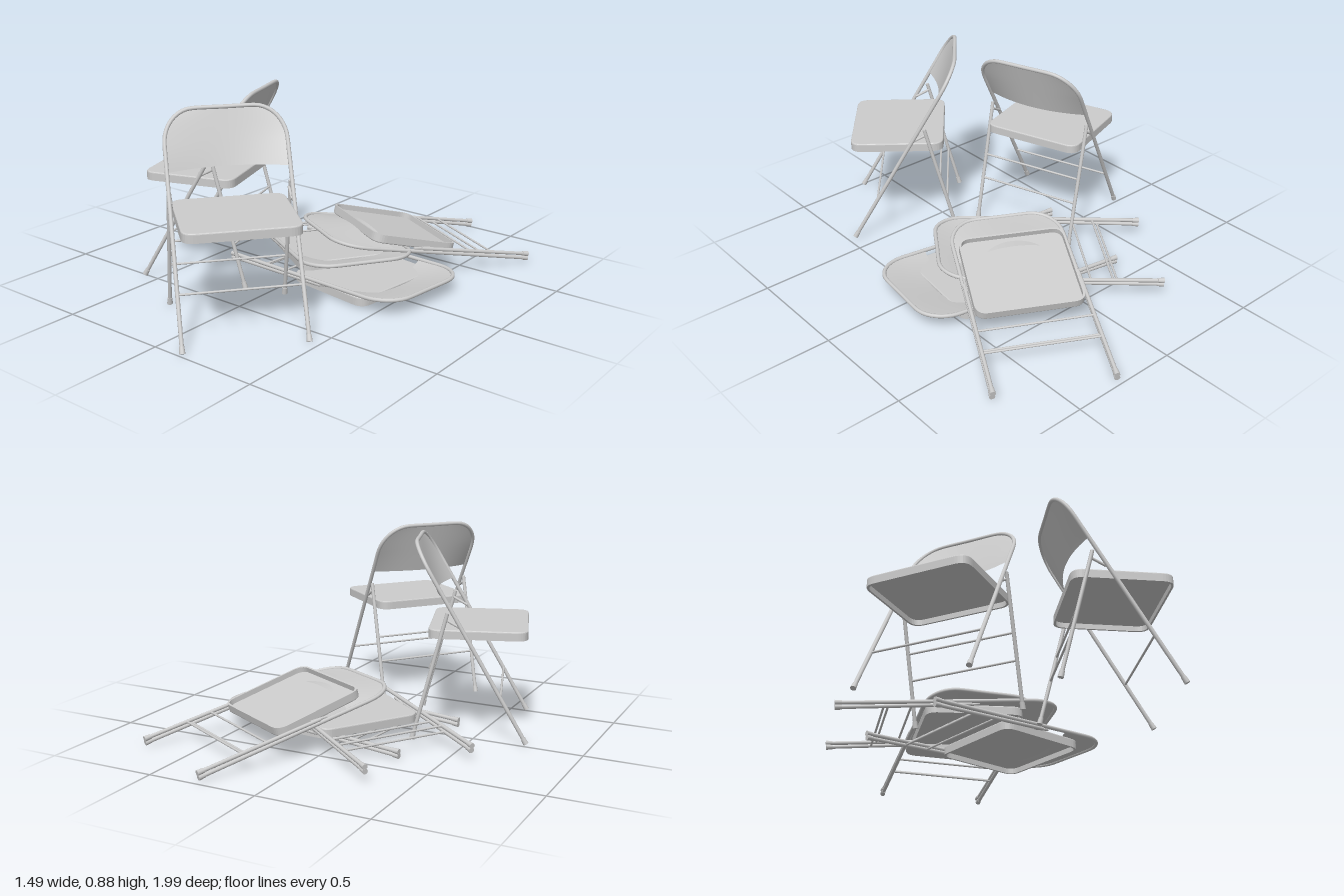
import * as THREE from 'three';
import { ParametricGeometry } from 'three/addons/geometries/ParametricGeometry.js';

const HALF = 0.255;          // half width of the tube frame
const LENGTH = 1.0;          // frame length from foot to top
const CORNER = 0.85;         // where the top corners start
const INSET = 0.13;          // sideways reach of the top corners
const LEAN = 0.522;          // backward lean of an open frame
const TUBE = 0.009;
const grey = new THREE.MeshStandardMaterial({ color: 0xcccccc });
const greyThin = new THREE.MeshStandardMaterial({ color: 0xcccccc, side: THREE.DoubleSide });
const V = (x, y, z) => new THREE.Vector3(x, y, z);

function add(parent, name, geometry, material = grey) {
  const mesh = new THREE.Mesh(geometry, material);
  mesh.name = name;
  parent.add(mesh);
  return mesh;
}

// Straight round bar between two points
function bar(parent, name, a, b, radius) {
  const mesh = add(parent, name, new THREE.CylinderGeometry(radius, radius, a.distanceTo(b), 10));
  mesh.position.copy(a).lerp(b, 0.5);
  mesh.quaternion.setFromUnitVectors(V(0, 1, 0), b.clone().sub(a).normalize());
}

function footCap(parent, x) {
  const cap = add(parent, 'footCap', new THREE.CylinderGeometry(0.0105, 0.0125, 0.03, 12));
  cap.position.set(x, 0.02, 0);
}

// Half width of the backrest at distance d from the foot
function halfWidth(d) {
  const t = THREE.MathUtils.clamp((d - CORNER) / (LENGTH - CORNER), 0, 1);
  return HALF - INSET * (1 - Math.sqrt(1 - t * t));
}

// Front legs and backrest: one bent tube, a curved panel and a crossbar
function makeFrame() {
  const frame = new THREE.Group();
  frame.name = 'frontFrame';
  const side = [V(HALF, 0.01, 0), V(HALF, 0.3, 0), V(HALF, 0.6, 0), V(HALF, 0.8, 0)];
  for (let i = 0; i <= 8; i++) {
    const a = (i / 8) * Math.PI / 2;
    side.push(V(HALF - INSET * (1 - Math.cos(a)), CORNER + (LENGTH - CORNER) * Math.sin(a), 0));
  }
  const other = side.map(p => V(-p.x, p.y, p.z)).reverse();
  const path = new THREE.CatmullRomCurve3([...side, V(0, LENGTH, 0), ...other]);
  add(frame, 'bentTube', new THREE.TubeGeometry(path, 110, TUBE, 10));

  // The panel bows backward at its level lower edge and is flat at the top
  const bottom = 0.733;
  const panel = new ParametricGeometry((u, v, target) => {
    const d = bottom + (LENGTH - bottom) * Math.sin(v * Math.PI / 2);
    const s = u * 2 - 1;
    const bow = 0.045 * (1 - s * s) * (LENGTH - d) / (LENGTH - bottom);
    target.set(s * halfWidth(d), d + bow * 0.576, -bow);
  }, 20, 20);
  add(frame, 'backPanel', panel, greyThin);

  bar(frame, 'frontCrossbar', V(-HALF, 0.237, 0), V(HALF, 0.237, 0), 0.005);
  for (const s of [-1, 1]) footCap(frame, s * HALF);
  return frame;
}

// Rear legs with two crossbars
function makeRearLegs() {
  const legs = new THREE.Group();
  legs.name = 'rearLegs';
  const x = HALF - 0.002;
  for (const s of [-1, 1]) {
    bar(legs, 'rearLeg', V(s * x, 0.01, 0), V(s * x, 0.594, 0), 0.0085);
    footCap(legs, s * x);
  }
  for (const d of [0.212, 0.331]) {
    bar(legs, 'rearCrossbar', V(-x, d, 0), V(x, d, 0), 0.005);
  }
  return legs;
}

function roundedOutline(Type, w, h, r) {
  const s = new Type();
  s.moveTo(-w + r, -h);
  s.lineTo(w - r, -h);
  s.quadraticCurveTo(w, -h, w, -h + r);
  s.lineTo(w, h - r);
  s.quadraticCurveTo(w, h, w - r, h);
  s.lineTo(-w + r, h);
  s.quadraticCurveTo(-w, h, -w, h - r);
  s.lineTo(-w, -h + r);
  s.quadraticCurveTo(-w, -h, -w + r, -h);
  return s;
}

// Pressed seat, hollow underneath; its top faces local +z
function makeSeat() {
  const seat = new THREE.Group();
  seat.name = 'seat';
  const w = 0.24, h = 0.216;
  const top = add(seat, 'seatTop', new THREE.ExtrudeGeometry(roundedOutline(THREE.Shape, w, h, 0.055), {
    depth: 0.004, bevelThickness: 0.006, bevelSize: 0.006, bevelOffset: -0.006, bevelSegments: 3, curveSegments: 8,
  }));
  top.position.z = -0.01;
  const wall = roundedOutline(THREE.Shape, w, h, 0.055);
  wall.holes.push(roundedOutline(THREE.Path, w - 0.009, h - 0.009, 0.048));
  const skirt = add(seat, 'seatSkirt', new THREE.ExtrudeGeometry(wall, {
    depth: 0.034, bevelEnabled: false, curveSegments: 8,
  }));
  skirt.position.z = -0.04;
  return seat;
}

function openChair(x, z, yaw) {
  const chair = new THREE.Group();
  chair.name = 'openChair';
  const frame = makeFrame(), legs = makeRearLegs(), seat = makeSeat();
  frame.position.z = 0.253;
  frame.rotation.x = -LEAN;
  legs.position.z = -0.25;
  legs.rotation.x = 0.255;
  seat.position.set(0, 0.497, 0.03);
  seat.rotation.x = -Math.PI / 2;
  chair.add(frame, legs, seat);
  for (const s of [-1, 1]) {
    bar(chair, 'hingeLink', V(s * 0.247, 0.545, -0.108), V(s * 0.247, 0.51, -0.045), 0.006);
  }
  chair.position.set(x, 0, z);
  chair.rotation.y = yaw;
  return chair;
}

// Folded chair: foot is the middle of the front feet, (dx, dz) points to the
// backrest, rise is the height gained, and up is 1 (face up) or -1 (face down)
function foldedChair({ foot, dx, dz, rise, up }) {
  const chair = new THREE.Group();
  chair.name = 'foldedChair';
  const legs = makeRearLegs(), seat = makeSeat();
  legs.position.set(0, 0, -0.02);
  legs.rotation.x = 0.01;
  seat.position.set(0, 0.615, -0.012);
  seat.rotation.x = -0.05;
  chair.add(makeFrame(), legs, seat);
  for (const s of [-1, 1]) {
    bar(chair, 'hingeLink', V(s * 0.247, 0.55, -0.018), V(s * 0.247, 0.63, -0.01), 0.006);
  }
  const axis = V(dx, 0, dz).normalize().multiplyScalar(Math.sqrt(1 - rise * rise));
  axis.y = rise;
  const across = axis.clone().cross(V(0, up, 0)).normalize();
  const facing = across.clone().cross(axis);
  chair.quaternion.setFromRotationMatrix(new THREE.Matrix4().makeBasis(across, axis, facing));
  chair.position.copy(foot);
  return chair;
}

export function createModel() {
  const model = new THREE.Group();
  model.name = 'foldingChairs';
  // Two chairs standing
  model.add(openChair(0.105, 0.632, 0.89), openChair(-0.42, 0.183, -1.246));
  // Three chairs folded in a loose pile
  model.add(
    foldedChair({ foot: V(-0.36, 0.034, -0.14), dx: 0.99, dz: 0.12, rise: 0.04, up: 1 }),
    foldedChair({ foot: V(-0.465, 0.065, -0.485), dx: 0.83, dz: 0.56, rise: 0.092, up: 1 }),
    foldedChair({ foot: V(0.502, 0.016, -0.865), dx: -0.47, dz: 0.88, rise: 0.205, up: -1 }),
  );
  return model;
}
